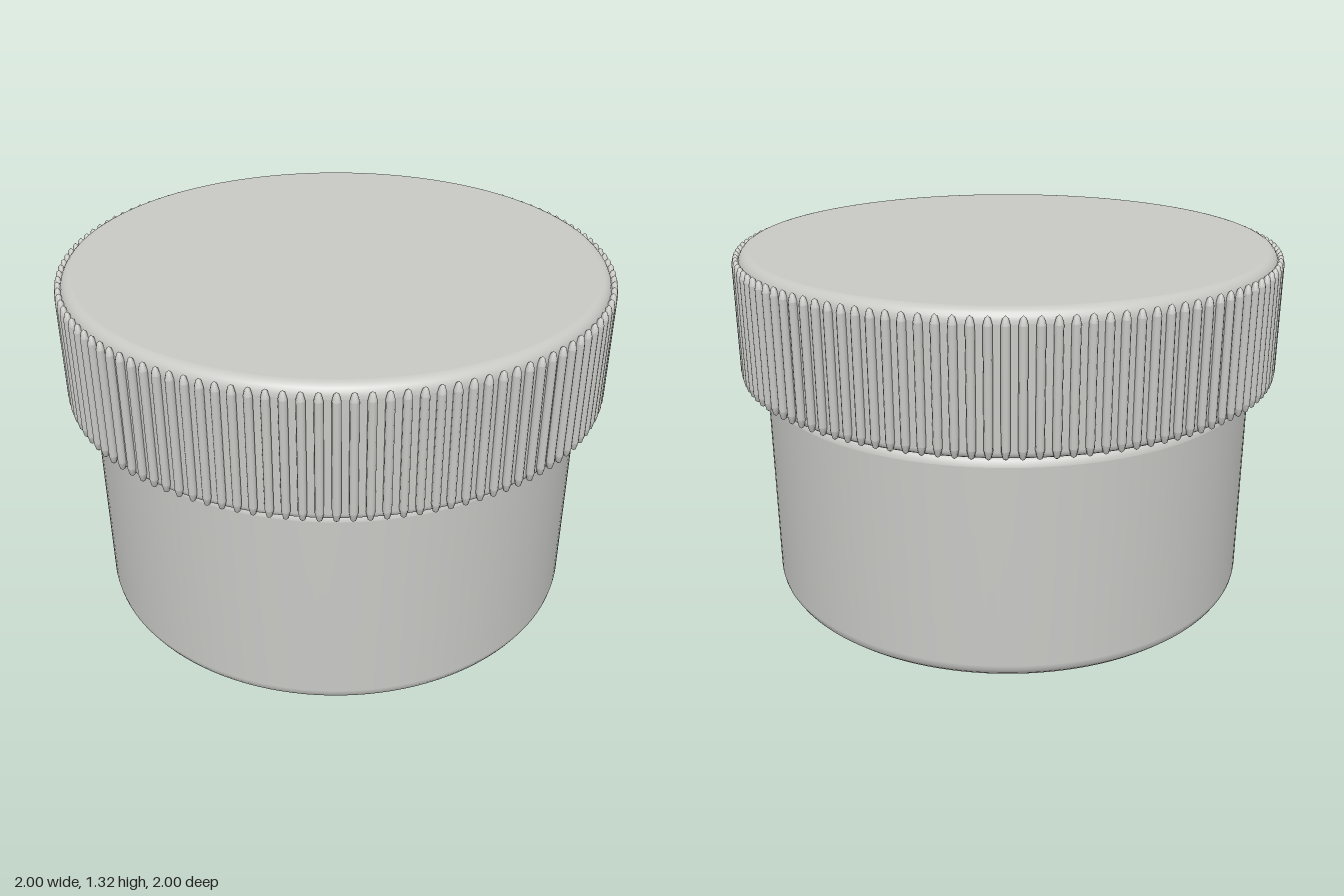
import * as THREE from 'three';
import { mergeGeometries } from 'three/addons/utils/BufferGeometryUtils.js';

// Revolve a profile; a point given twice makes a sharp edge there.
function revolve(points, segments) {
  return new THREE.LatheGeometry(points.map(([r, y]) => new THREE.Vector2(r, y)), segments);
}

// Quarter-round points around (cr, cy), angles in degrees.
function arc(cr, cy, rx, ry, from, to, steps = 6) {
  const pts = [];
  for (let i = 0; i <= steps; i++) {
    const a = THREE.MathUtils.degToRad(from + (to - from) * i / steps);
    pts.push([cr + Math.cos(a) * rx, cy + Math.sin(a) * ry]);
  }
  return pts;
}

export function createModel() {
  const model = new THREE.Group();
  model.name = 'jar';
  const grey = new THREE.MeshStandardMaterial({ color: 0xc8c8c5 });
  grey.name = 'light grey';

  const add = (name, geometry) => {
    const mesh = new THREE.Mesh(geometry, grey);
    mesh.name = name;
    model.add(mesh);
  };

  // Hollow jar: rounded base, straight wall, shoulder and narrower neck
  add('jarBody', revolve([
    [0, 0], [0.81, 0], [0.81, 0],
    ...arc(0.81, 0.07, 0.1, 0.07, -90, 0),
    [0.91, 0.79],
    ...arc(0.88, 0.79, 0.03, 0.03, 0, 90, 4),
    [0.88, 0.82], [0.88, 0.82],
    [0.88, 1.25], [0.88, 1.25],
    [0.81, 1.25], [0.81, 1.25],
    [0.81, 0.08], [0.81, 0.08], [0, 0.08],
  ], 128));

  // Lid: open underside, rim, outer wall and rounded top edge
  add('lid', revolve([
    [0, 1.26], [0.93, 1.26], [0.93, 1.26],
    [0.93, 0.845], [0.93, 0.845],
    [0.955, 0.845],
    ...arc(0.955, 0.87, 0.023, 0.025, -90, 0, 4),
    [0.978, 1.27],
    ...arc(0.938, 1.27, 0.04, 0.045, 0, 90),
    [0.938, 1.315], [0, 1.315],
  ], 240));

  // Grip ridges around the lid, tapering at both ends
  const ridges = [];
  const count = 120;
  for (let i = 0; i < count; i++) {
    const a = i / count * Math.PI * 2;
    const ridge = revolve([
      [0, 0.848], [0.009, 0.855], [0.0145, 0.88], [0.0145, 0.88],
      [0.0145, 1.27], [0.0145, 1.27], [0.009, 1.292], [0, 1.3],
    ], 10);
    ridge.translate(Math.cos(a) * 0.9855, 0, Math.sin(a) * 0.9855);
    ridges.push(ridge);
  }
  add('gripRidges', mergeGeometries(ridges));

  return model;
}
